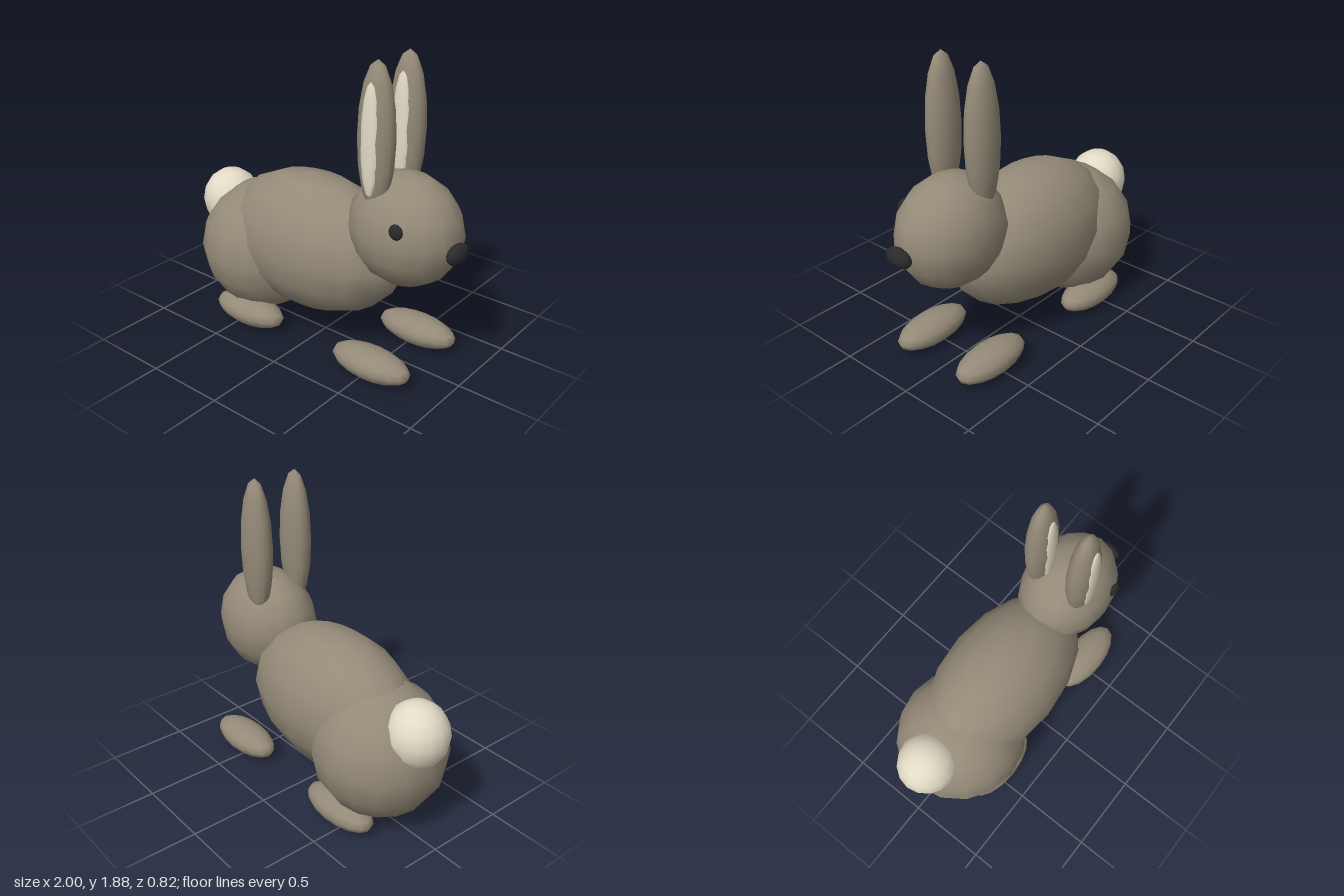
import * as THREE from 'three';

export function createModel() {
  const rabbit = new THREE.Group();
  rabbit.name = 'rabbit';

  const material = (name, color) => {
    const m = new THREE.MeshStandardMaterial({ color });
    m.name = name;
    return m;
  };
  const fur = material('greyBrownFur', 0x948a78);
  const cream = material('cream', 0xe2dbc6);
  const black = material('black', 0x2a2a2d);

  // Every part is a stretched low-poly ball with smooth normals
  const ball = new THREE.SphereGeometry(1, 16, 8);
  const addBall = (name, mat, position, radii) => {
    const geometry = ball.clone().scale(...radii);
    const mesh = new THREE.Mesh(geometry, mat);
    mesh.name = name;
    mesh.position.set(...position);
    rabbit.add(mesh);
  };

  // Trunk, head and tail
  addBall('body', fur, [-0.09, 0.62, 0], [0.653, 0.442, 0.375]);
  addBall('haunches', fur, [-0.505, 0.472, 0], [0.425, 0.43, 0.41]);
  addBall('head', fur, [0.585, 0.898, 0], [0.357, 0.343, 0.287]);
  addBall('tail', cream, [-0.805, 0.707, 0], [0.195, 0.205, 0.187]);

  // Ears with pale linings facing +z, and the feet
  for (const [side, s] of [['near', 1], ['far', -1]]) {
    const earZ = s * 0.147;
    addBall(side + 'Ear', fur, [0.473, 1.45, earZ], [0.118, 0.44, 0.085]);
    addBall(side + 'EarLining', cream, [0.473, 1.45, earZ + 0.06], [0.06, 0.33, 0.03]);
    addBall(side + 'FrontFoot', fur, [0.54, 0.098, s * 0.245], [0.27, 0.093, 0.125]);
    addBall(side + 'HindFoot', fur, [-0.435, 0.098, s * 0.245], [0.27, 0.093, 0.125]);
  }

  // Face: a single eye on the +z side and a slightly offset nose
  addBall('eye', black, [0.697, 1.0, 0.262], [0.044, 0.046, 0.025]);
  addBall('nose', black, [0.953, 0.863, 0.035], [0.045, 0.06, 0.094]);

  return rabbit;
}
